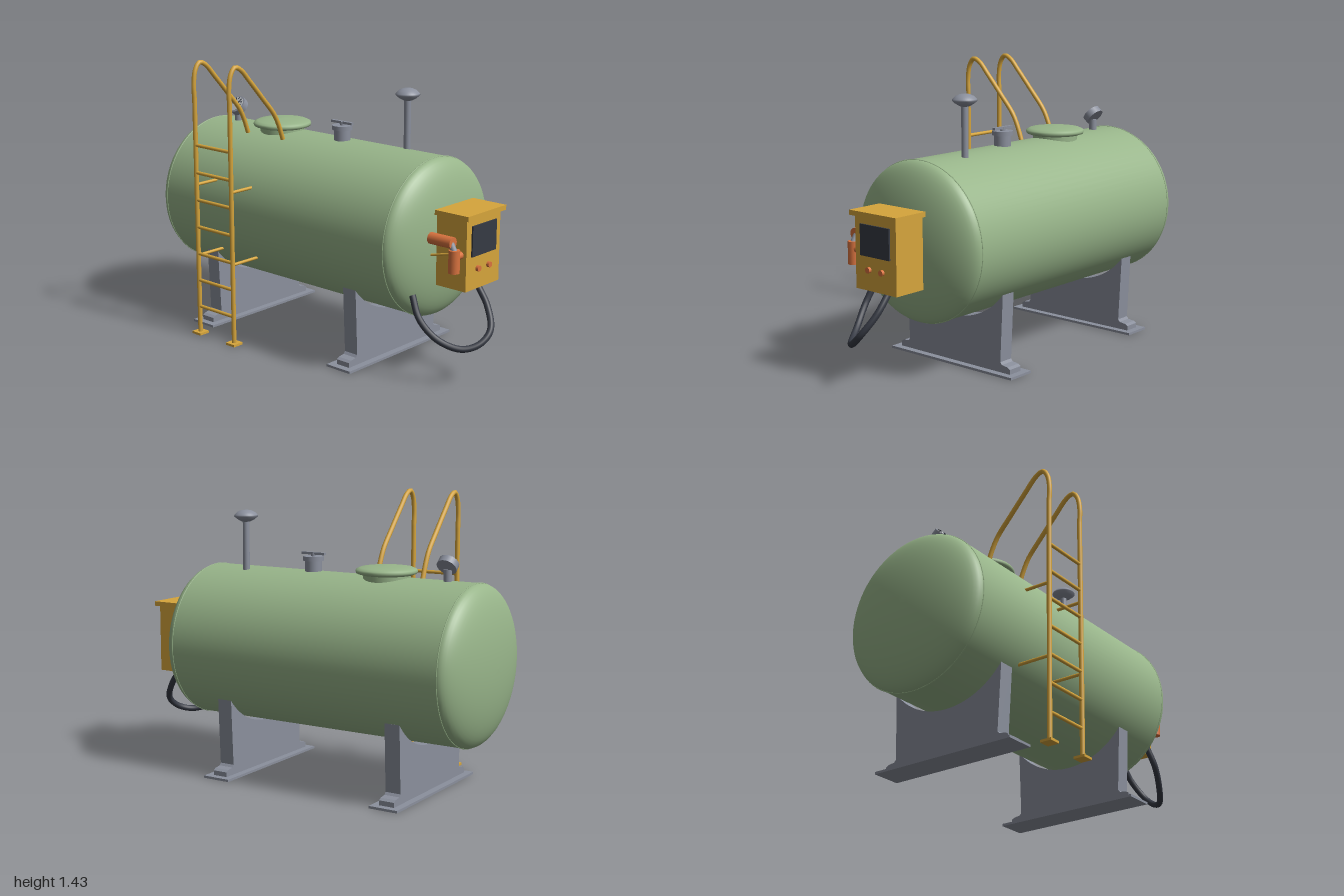
import * as THREE from 'three';

const mat = (name, color, side = THREE.FrontSide) => {
  const m = new THREE.MeshStandardMaterial({ color, side });
  m.name = name;
  return m;
};
const V = (x, y, z) => new THREE.Vector3(x, y, z);

export function createModel() {
  const green = mat('tankGreen', 0x98b58a);
  const yellow = mat('safetyYellow', 0xd6a53c);
  const grey = mat('steelGrey', 0x8b909d);
  const dark = mat('rubberDark', 0x363a44);
  const orange = mat('nozzleOrange', 0xd9733f);
  const pale = mat('dialPale', 0xb4b8bc);

  const model = new THREE.Group();
  model.name = 'storageTank';
  const CY = 0.645, CZ = -0.063, R = 0.39;

  const add = (parent, name, geo, material, x = 0, y = 0, z = 0) => {
    const m = new THREE.Mesh(geo, material);
    m.name = name;
    m.position.set(x, y, z);
    parent.add(m);
    return m;
  };
  const group = (name, x = 0, y = 0, z = 0) => {
    const g = new THREE.Group();
    g.name = name;
    g.position.set(x, y, z);
    model.add(g);
    return g;
  };
  const box = (w, h, d) => new THREE.BoxGeometry(w, h, d);
  const cyl = (r, h, r2 = r, seg = 28) => new THREE.CylinderGeometry(r2, r, h, seg);
  const lathe = (pts, seg = 40) => new THREE.LatheGeometry(pts.map(p => new THREE.Vector2(...p)), seg);
  const rod = (parent, name, a, b, r, material) => {
    const m = add(parent, name, cyl(r, a.distanceTo(b), r, 14), material);
    m.position.copy(a).add(b).multiplyScalar(0.5);
    m.quaternion.setFromUnitVectors(V(0, 1, 0), b.clone().sub(a).normalize());
    return m;
  };

  // Tank shell with dished ends
  const tank = group('tank', 0, CY, CZ);
  const x0 = -0.88, x1 = 0.615, dish = 0.12, profile = [];
  for (let i = 0; i <= 16; i++) {
    const t = i / 16 * Math.PI / 2;
    profile.push([R * Math.sin(t), x0 - dish * Math.cos(t)]);
  }
  for (let i = 16; i >= 0; i--) {
    const t = i / 16 * Math.PI / 2;
    profile.push([R * Math.sin(t), x1 + dish * Math.cos(t)]);
  }
  add(tank, 'shell', lathe(profile, 80).rotateZ(-Math.PI / 2), green);
  for (const x of [x0, x1]) {
    add(tank, 'weldSeam', new THREE.TorusGeometry(R, 0.003, 6, 80).rotateY(Math.PI / 2), green, x);
  }

  // Saddle supports on base plates
  const a = Math.atan2(0.25, 0.315);
  const s = new THREE.Shape();
  s.moveTo(-0.305, 0.01);
  s.lineTo(0.305, 0.01);
  s.lineTo(0.305, 0.036);
  s.quadraticCurveTo(0.3, 0.045, 0.26, 0.048);
  s.quadraticCurveTo(0.302, 0.05, 0.302, 0.07).lineTo(0.315, 0.395);
  s.absarc(0, CY, 0.402, -a, -Math.PI + a, true);
  s.lineTo(-0.302, 0.07);
  s.quadraticCurveTo(-0.302, 0.05, -0.26, 0.048);
  s.quadraticCurveTo(-0.3, 0.045, -0.305, 0.036);
  // Clean foot outline mirrored on both sides
  const foot = [[0.36, 0.01], [0.36, 0.036], [0.345, 0.045], [0.31, 0.05], [0.3, 0.062], [0.315, 0.395]];
  const saddleShape = new THREE.Shape();
  foot.forEach(([u, y], i) => (i ? saddleShape.lineTo(u, y) : saddleShape.moveTo(u, y)));
  saddleShape.absarc(0, CY, 0.402, -a, -Math.PI + a, true);
  [...foot].reverse().forEach(([u, y]) => saddleShape.lineTo(-u, y));
  const saddleGeo = new THREE.ExtrudeGeometry(saddleShape, { depth: 0.08, bevelEnabled: false, curveSegments: 40 });
  saddleGeo.translate(0, 0, -0.04).rotateY(Math.PI / 2);
  for (const x of [-0.615, 0.348]) {
    const g = group('saddle', x, 0, CZ);
    add(g, 'saddleWeb', saddleGeo, grey);
    add(g, 'basePlate', box(0.15, 0.012, 0.79), grey, 0, 0.006);
  }

  // Ladder with hooped rails
  const ladder = group('ladder');
  const railX = [-0.53, -0.277], LZ = 0.43;
  for (const x of railX) {
    const path = new THREE.CurvePath();
    path.add(new THREE.LineCurve3(V(x, 0, LZ), V(x, 1.24, LZ)));
    path.add(new THREE.CatmullRomCurve3([
      [1.24, LZ], [1.31, 0.433], [1.385, 0.42], [1.42, 0.392], [1.405, 0.352],
      [1.34, 0.29], [1.24, 0.2], [1.15, 0.122], [1.09, 0.09], [1.01, 0.06]
    ].map(([y, z]) => V(x, y, z))));
    add(ladder, 'rail', new THREE.TubeGeometry(path, 120, 0.012, 12), yellow);
    add(ladder, 'railFoot', box(0.06, 0.012, 0.06), yellow, x, 0.006, LZ);
    rod(ladder, 'standoff', V(x, 0.8, LZ), V(x, 0.8, 0.28), 0.008, yellow);
    rod(ladder, 'standoff', V(x, 0.425, LZ), V(x, 0.425, 0.25), 0.008, yellow);
  }
  for (let i = 0; i < 7; i++) {
    const y = 0.15 + i * 0.1425;
    rod(ladder, 'rung', V(railX[0], y, LZ), V(railX[1], y, LZ), 0.009, yellow);
  }

  // Manhole neck and domed cover
  const manhole = group('manhole', -0.4, 0, CZ);
  add(manhole, 'manholeNeck', cyl(0.115, 0.1, 0.115, 40), green, 0, 1.01);
  add(manhole, 'manholeCover', lathe([[0, 1.045], [0.13, 1.047], [0.147, 1.053], [0.151, 1.063],
    [0.147, 1.072], [0.13, 1.08], [0.08, 1.087], [0, 1.09]], 48), green);

  // Pressure gauge, tilted up toward the front
  const gauge = group('pressureGauge', -0.73, 0, CZ);
  add(gauge, 'gaugeStem', cyl(0.02, 0.09), grey, 0, 1.045);
  const dial = new THREE.Group();
  dial.name = 'gaugeDial';
  dial.position.set(0, 1.113, 0);
  dial.rotation.x = Math.PI / 2 - 0.72;
  gauge.add(dial);
  add(dial, 'dialCase', cyl(0.05, 0.035), grey);
  add(dial, 'dialFace', cyl(0.042, 0.004), pale, 0, 0.0185);
  for (let i = 0; i < 9; i++) {
    const t = -0.7 + i / 8 * (Math.PI + 1.4);
    const tick = add(dial, 'dialTick', box(0.011, 0.003, 0.005), dark, 0.033 * Math.cos(t), 0.021, -0.033 * Math.sin(t));
    tick.rotation.y = t;
  }
  add(dial, 'dialNeedle', box(0.04, 0.003, 0.006), dark, 0.006, 0.022, -0.006).rotation.y = 0.8;

  // Filler valve with bar handle
  const valve = group('fillValve', 0.02, 0, CZ);
  add(valve, 'valveNeck', cyl(0.042, 0.09), grey, 0, 1.045);
  add(valve, 'valveCap', cyl(0.052, 0.022), grey, 0, 1.098);
  add(valve, 'valveStem', cyl(0.013, 0.025), grey, 0, 1.115);
  add(valve, 'valveHandle', box(0.135, 0.012, 0.018), grey, 0, 1.123);

  // Vent pipe with mushroom cap
  const vent = group('ventPipe', 0.38, 0, -0.135);
  add(vent, 'ventTube', cyl(0.017, 0.28), grey, 0, 1.14);
  add(vent, 'ventCap', lathe([[0, 1.268], [0.022, 1.27], [0.045, 1.283], [0.061, 1.297], [0.058, 1.305],
    [0.045, 1.318], [0.025, 1.327], [0, 1.33]], 36), grey);

  // Dispenser cabinet
  const cab = group('dispenserCabinet');
  const cz = -0.06;
  add(cab, 'cabinetMount', box(0.1, 0.22, 0.2), yellow, 0.7, 0.66, cz);
  add(cab, 'cabinetBody', box(0.173, 0.35, 0.262), yellow, 0.819, 0.633, cz);
  add(cab, 'cabinetRoof', box(0.193, 0.024, 0.298), yellow, 0.828, 0.816, cz);
  add(cab, 'displayScreen', box(0.009, 0.148, 0.187), dark, 0.909, 0.695, cz);
  for (const z of [-0.017, -0.102]) {
    add(cab, 'button', cyl(0.014, 0.016).rotateZ(Math.PI / 2), orange, 0.912, 0.557, z);
  }

  // Dispensing nozzle resting in its bracket
  const nozzle = group('nozzle');
  rod(nozzle, 'nozzleBarrel', V(0.735, 0.7, 0.12), V(0.865, 0.7, 0.12), 0.028, orange);
  rod(nozzle, 'nozzleGrip', V(0.873, 0.558, 0.12), V(0.873, 0.668, 0.12), 0.027, orange);
  rod(nozzle, 'nozzleLink', V(0.85, 0.7, 0.12), V(0.876, 0.655, 0.12), 0.015, grey);
  rod(nozzle, 'gripSupport', V(0.873, 0.633, 0.12), V(0.873, 0.633, 0.065), 0.018, orange);
  add(nozzle, 'nozzleBracket', box(0.07, 0.07, 0.022), yellow, 0.8, 0.65, 0.081);
  rod(nozzle, 'bracketRod', V(0.725, 0.61, 0.1), V(0.835, 0.637, 0.1), 0.006, yellow);

  // Hose looping from the tank end to the cabinet underside
  const hose = new THREE.CatmullRomCurve3([
    V(0.68, 0.42, 0.18), V(0.735, 0.32, 0.195), V(0.82, 0.23, 0.165), V(0.915, 0.19, 0.105),
    V(0.97, 0.21, 0.035), V(0.982, 0.265, -0.03), V(0.925, 0.36, -0.08), V(0.84, 0.47, -0.09)
  ]);
  add(model, 'hose', new THREE.TubeGeometry(hose, 70, 0.016, 14), dark);

  return model;
}
